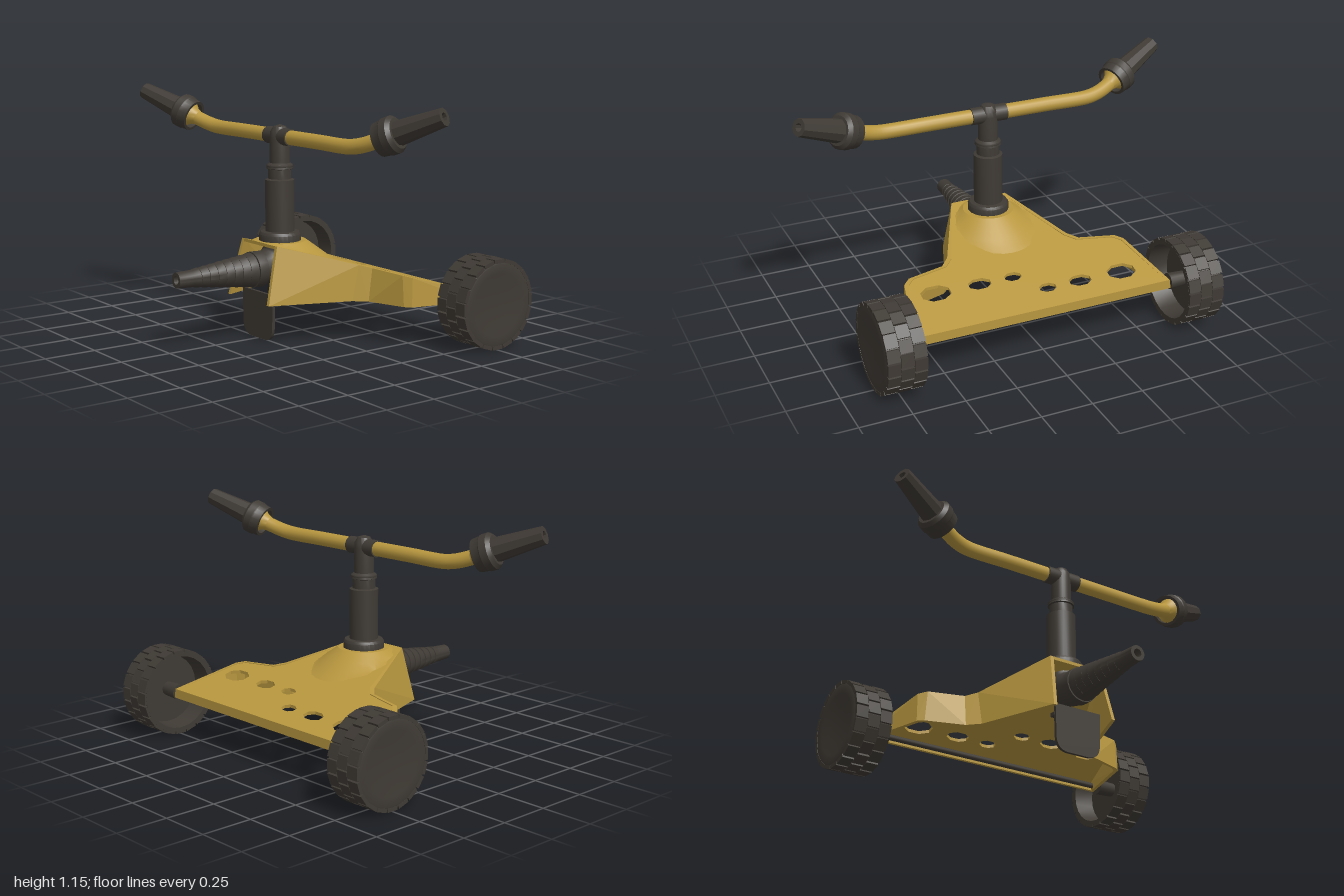
import * as THREE from 'three';
import { mergeGeometries, toCreasedNormals } from 'three/addons/utils/BufferGeometryUtils.js';
import { ConvexGeometry } from 'three/addons/geometries/ConvexGeometry.js';

const V = (x, y, z) => new THREE.Vector3(x, y, z);
const crease = (g, a = 0.6) => toCreasedNormals(g, a);
const lathe = (pts, seg = 24) =>
  crease(new THREE.LatheGeometry(pts.map(([r, y]) => new THREE.Vector2(r, y)), seg));

// Sloping deck height at a given z
const deckY = (z) => 0.46 - 0.2875 * (0.25 - z);
const COLUMN_Z = 0.13;

export function createModel() {
  const root = new THREE.Group();
  const yellow = new THREE.MeshStandardMaterial({ color: 0xb8973f });
  yellow.name = 'mustard yellow';
  const dark = new THREE.MeshStandardMaterial({ color: 0x3f3a34 });
  dark.name = 'dark brown grey';

  const add = (parent, name, geo, mat, x = 0, y = 0, z = 0) => {
    const m = new THREE.Mesh(geo, mat);
    m.name = name;
    m.position.set(x, y, z);
    parent.add(m);
    return m;
  };

  // ---- Body shell: half outlines as [x, z], from back to front
  const body = new THREE.Group();
  body.name = 'body';
  root.add(body);
  const top = [[0.655, -0.53], [0.575, -0.21], [0.54, -0.178], [0.36, -0.145], [0.315, -0.1], [0.145, 0.25]];
  const foot = [[0.662, -0.53], [0.578, -0.205], [0.55, -0.18], [0.365, -0.12], [0.312, -0.065], [0.17, 0.315]];

  // Deck plate with six graded octagonal holes
  const deckShape = new THREE.Shape([
    ...top.map(([x, z]) => new THREE.Vector2(x, -z)),
    ...top.slice().reverse().map(([x, z]) => new THREE.Vector2(-x, -z)),
  ]);
  for (const s of [-1, 1]) {
    for (const [x, rx, rz] of [[0.455, 0.072, 0.046], [0.235, 0.056, 0.033], [0.065, 0.042, 0.026]]) {
      const pts = [];
      for (let i = 0; i < 8; i++) {
        const a = ((i + 0.5) / 8) * Math.PI * 2;
        pts.push(new THREE.Vector2(s * x + rx * 1.06 * Math.cos(a), (s < 0 ? 0.41 : 0.3) + rz * 1.06 * Math.sin(a)));
      }
      deckShape.holes.push(new THREE.Path(pts));
    }
  }
  const T = 0.015;
  const deck = new THREE.ExtrudeGeometry(deckShape, { depth: T, bevelEnabled: false }).rotateX(-Math.PI / 2);
  const dp = deck.attributes.position;
  for (let i = 0; i < dp.count; i++) dp.setY(i, dp.getY(i) + deckY(dp.getZ(i)) - T);
  deck.computeVertexNormals();
  add(body, 'deck', deck, yellow);

  // Flared side walls, one hull per outline segment
  for (const s of [-1, 1]) {
    for (let i = 0; i < top.length - 1; i++) {
      const pts = [];
      for (const k of [i, i + 1]) {
        const dz = k === top.length - 1 || k === 0 ? 0 : 0.012;
        for (const [p, y] of [[top[k], deckY(top[k][1])], [foot[k], 0.19]]) {
          pts.push(V(s * p[0], y, p[1]), V(s * (p[0] - 0.018), y, p[1] - dz));
        }
      }
      add(body, 'sideWall', new ConvexGeometry(pts), yellow);
    }
  }
  add(body, 'backWall', new THREE.BoxGeometry(1.31, 0.044, 0.016), yellow, 0, 0.212, -0.522);

  // Conical rise around the column, trimmed to the deck
  const boss = new THREE.LatheGeometry(
    [[0.3, 0.33], [0.26, 0.36], [0.22, 0.39], [0.18, 0.42], [0.15, 0.442], [0.125, 0.46], [0, 0.461]]
      .map(([r, y]) => new THREE.Vector2(r, y)), 40).translate(0, 0, COLUMN_Z);
  const bp = boss.attributes.position;
  for (let i = 0; i < bp.count; i++) {
    const z = Math.min(bp.getZ(i), 0.248);
    const w = 0.14 + ((0.25 - z) / 0.39) * 0.19;
    bp.setXYZ(i, THREE.MathUtils.clamp(bp.getX(i), -w, w), Math.max(bp.getY(i), deckY(z) - 0.006), z);
  }
  add(body, 'columnRise', crease(boss, 0.5), yellow);

  // ---- Upright column
  add(root, 'column', lathe([
    [0, 0.44], [0.1, 0.455], [0.1, 0.49], [0.092, 0.502], [0.07, 0.505], [0.07, 0.75], [0.056, 0.755],
    [0.056, 0.8], [0.064, 0.803], [0.06, 0.822], [0.048, 0.83], [0.048, 0.95], [0.045, 0.978],
    [0.03, 1.002], [0, 1.012]], 28), dark, 0, 0, COLUMN_Z);
  add(root, 'columnRing', new THREE.TorusGeometry(0.056, 0.008, 6, 28).rotateX(Math.PI / 2), dark, 0, 0.815, COLUMN_Z);
  add(root, 'teeJoint', new THREE.CylinderGeometry(0.041, 0.041, 0.18, 20).rotateZ(Math.PI / 2), dark, 0, 0.955, COLUMN_Z);

  // ---- Two spray arms, the second turned half a circle
  const dir = V(0.4, 0.16, -0.16).normalize();
  const bend = V(0.58, 0, 0);
  const along = (t) => bend.clone().addScaledVector(dir, t);
  for (const turn of [0, Math.PI]) {
    const arm = new THREE.Group();
    arm.name = turn ? 'rightArm' : 'leftArm';
    arm.position.set(0, 0.955, COLUMN_Z);
    arm.rotation.y = turn;
    root.add(arm);
    const path = new THREE.CatmullRomCurve3(
      [V(0, 0, 0), V(0.3, 0, 0), V(0.53, 0, 0), V(0.585, 0.008, -0.008), along(0.06), along(0.2)]);
    add(arm, 'pipe', new THREE.TubeGeometry(path, 40, 0.035, 16), yellow);

    const nozzle = new THREE.Group();
    nozzle.name = 'nozzle';
    nozzle.position.copy(bend);
    nozzle.quaternion.setFromUnitVectors(V(0, 1, 0), dir);
    arm.add(nozzle);
    add(nozzle, 'pipeFlare', lathe([[0.035, 0.1], [0.045, 0.13], [0.062, 0.15], [0.062, 0.17], [0, 0.17]], 20), yellow);
    add(nozzle, 'collar', lathe([
      [0, 0.172], [0.064, 0.172], [0.064, 0.125], [0.078, 0.125], [0.082, 0.165],
      [0.086, 0.17], [0.086, 0.205], [0.07, 0.222], [0, 0.222]], 20), dark);
    add(nozzle, 'nozzleTip', lathe([
      [0.058, 0.215], [0.042, 0.455], [0.02, 0.455], [0.018, 0.41], [0, 0.41]], 9), dark);
  }

  // ---- Barbed hose inlet pointing forward, and its elbow
  const barbs = [[0.086, 0.25], [0.086, 0.3]];
  for (let i = 0; i < 8; i++) {
    const z = 0.3 + i * 0.042;
    const r = 0.083 - i * 0.0052;
    barbs.push([r - 0.01, z], [r, z + 0.004], [r - 0.008, z + 0.042]);
  }
  barbs.push([0.04, 0.637], [0.037, 0.71], [0.02, 0.71], [0.018, 0.66], [0, 0.66]);
  add(root, 'hoseInlet', lathe(barbs, 18).rotateX(Math.PI / 2), dark, 0, 0.333, 0);
  add(root, 'elbow', new THREE.TubeGeometry(new THREE.QuadraticBezierCurve3(
    V(0, 0.45, COLUMN_Z), V(0, 0.333, COLUMN_Z), V(0, 0.333, 0.27)), 14, 0.08, 18), dark);

  // ---- Hanging front flap with rounded lower corners
  const flap = new THREE.Shape();
  flap.moveTo(-0.125, 0.225);
  flap.lineTo(-0.12, 0.06);
  flap.quadraticCurveTo(-0.115, 0.005, -0.06, 0);
  flap.lineTo(0.06, 0);
  flap.quadraticCurveTo(0.115, 0.005, 0.12, 0.06);
  flap.lineTo(0.125, 0.225);
  add(root, 'flap', new THREE.ExtrudeGeometry(flap, { depth: 0.015, bevelEnabled: false }), dark, 0, 0, 0.247);
  add(root, 'flapHinge', new THREE.BoxGeometry(0.25, 0.018, 0.035), dark, 0, 0.178, 0.237);

  // ---- Wheels: open inside, closed outside, three staggered tread rows
  const tyre = lathe([
    [0, 0.1], [0.17, 0.1], [0.182, 0], [0.202, 0], [0.202, 0.18],
    [0.19, 0.185], [0.15, 0.182], [0.09, 0.176], [0, 0.174]], 24);
  const blocks = [];
  for (let row = 0; row < 3; row++) {
    for (let i = 0; i < 20; i++) {
      blocks.push(new THREE.BoxGeometry(0.018, 0.0575, 0.06)
        .rotateX(Math.PI / 2)
        .translate(0.2025, 0.0305 + row * 0.062, 0)
        .rotateY(((i + (row % 2) * 0.5) / 20) * Math.PI * 2));
    }
  }
  const tread = mergeGeometries(blocks);
  for (const s of [-1, 1]) {
    const wheel = new THREE.Group();
    wheel.name = s > 0 ? 'leftWheel' : 'rightWheel';
    wheel.position.set(s * 0.658, 0.212, -0.5);
    wheel.rotation.z = -s * Math.PI / 2;
    root.add(wheel);
    add(wheel, 'tyre', tyre, dark);
    add(wheel, 'tread', tread, dark);
    add(wheel, 'hub', new THREE.CylinderGeometry(0.035, 0.04, 0.1, 14), dark, 0, 0.055, 0);
  }
  add(root, 'axle', new THREE.CylinderGeometry(0.014, 0.014, 1.36, 10).rotateZ(Math.PI / 2), dark, 0, 0.21, -0.498);

  return root;
}
